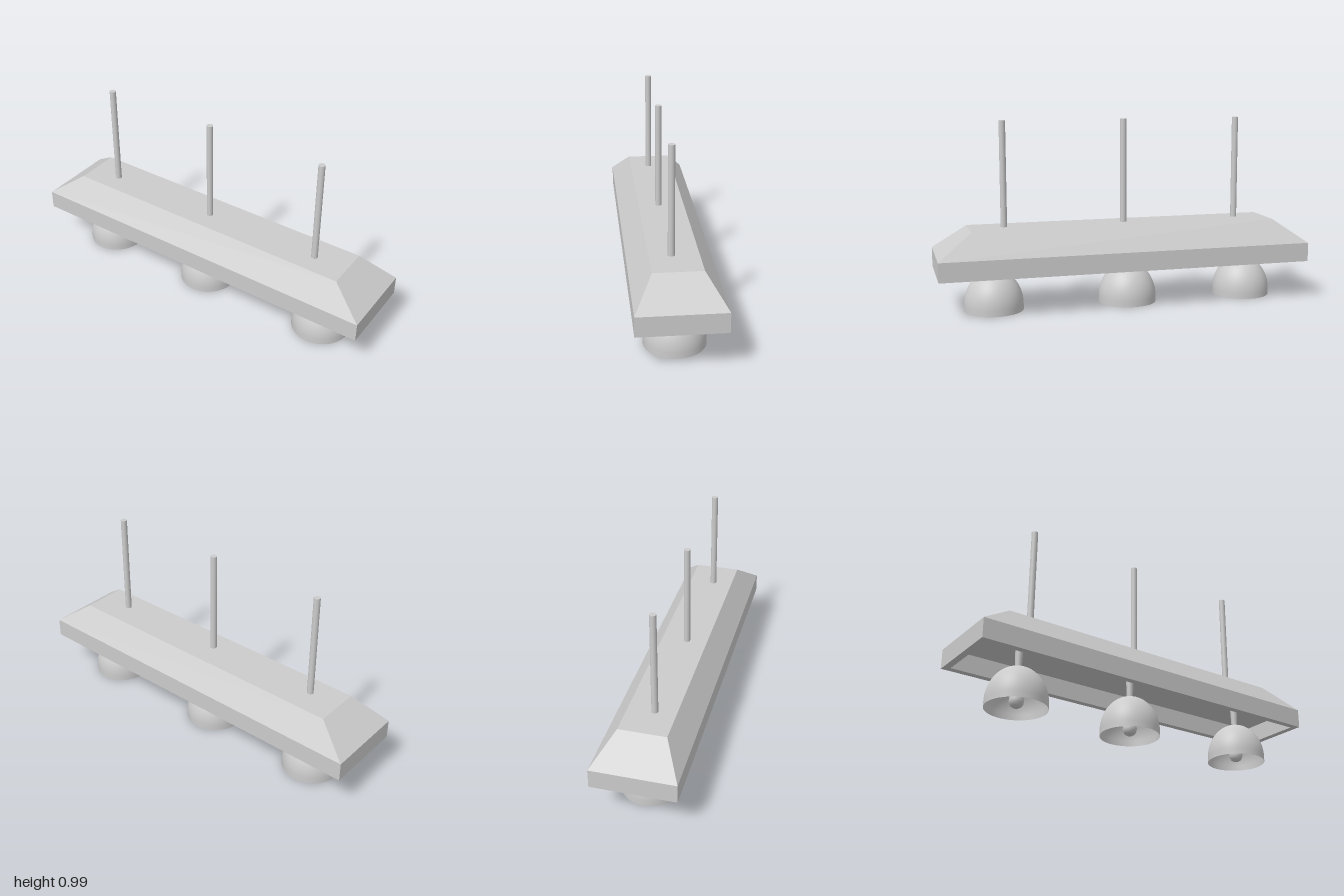
import * as THREE from 'three';

const grey = new THREE.MeshStandardMaterial({ color: 0xcccccc });
const greyDouble = new THREE.MeshStandardMaterial({ color: 0xcccccc, side: THREE.DoubleSide });

function add(parent, name, geometry, x, y, z, material = grey) {
  const mesh = new THREE.Mesh(geometry, material);
  mesh.name = name;
  mesh.position.set(x, y, z);
  parent.add(mesh);
  return mesh;
}

// Hollow tray from rectangular rings [halfX, y, halfZ], with both ends capped
function rectangleLoft(rings) {
  const corners = rings.map(([x, y, z]) => [[x, y, z], [x, y, -z], [-x, y, -z], [-x, y, z]]);
  const positions = [];
  const quad = (a, b, c, d) => positions.push(...a, ...b, ...c, ...a, ...c, ...d);
  for (let i = 0; i < corners.length - 1; i++) {
    for (let k = 0; k < 4; k++) {
      const n = (k + 1) % 4;
      quad(corners[i][k], corners[i][n], corners[i + 1][n], corners[i + 1][k]);
    }
  }
  quad(...corners[corners.length - 1]);
  quad(...corners[0].slice().reverse());
  const geometry = new THREE.BufferGeometry();
  geometry.setAttribute('position', new THREE.Float32BufferAttribute(positions, 3));
  geometry.computeVertexNormals();
  return geometry;
}

// Bell: short skirt closed by a slightly raised dome
function shadeGeometry(radius, skirt, height) {
  const profile = [new THREE.Vector2(radius, 0)];
  for (let i = 0; i <= 20; i++) {
    const a = (i / 20) * Math.PI / 2;
    profile.push(new THREE.Vector2(Math.max(radius * Math.cos(a), 0), skirt + height * Math.sin(a)));
  }
  return new THREE.LatheGeometry(profile, 48);
}

// Egg-shaped bulb, narrowing upwards into its neck
function bulbGeometry() {
  const profile = [[0, 0], [0.014, 0.003], [0.027, 0.011], [0.035, 0.025], [0.037, 0.04],
    [0.034, 0.058], [0.028, 0.075], [0.021, 0.092], [0.016, 0.11], [0.016, 0.21]];
  return new THREE.LatheGeometry(profile.map(([r, y]) => new THREE.Vector2(r, y)), 24);
}

export function createModel() {
  const model = new THREE.Group();
  model.name = 'pendantLamp';

  // Canopy: shallow flat-ceilinged recess below, sloped cap above
  const rim = 0.035;
  add(model, 'canopy', rectangleLoft([
    [1 - rim, 0.305, 0.218 - rim],
    [1 - rim, 0.209, 0.218 - rim],
    [1, 0.209, 0.218],
    [1, 0.311, 0.218],
    [0.823, 0.438, 0.123],
  ]), 0, 0, 0);

  // Hanging rods
  const rod = new THREE.CylinderGeometry(0.017, 0.017, 0.565, 24);
  for (const x of [-0.65, -0.01, 0.639]) add(model, 'hangingRod', rod, x, 0.7115, 0.014);

  // Shades with tapered stem and bulb
  const shade = shadeGeometry(0.156, 0.03, 0.184);
  const stem = new THREE.CylinderGeometry(0.02, 0.016, 0.11, 24);
  const bulb = bulbGeometry();
  for (const x of [-0.695, -0.029, 0.701]) {
    const lamp = new THREE.Group();
    lamp.name = 'lamp';
    lamp.position.set(x, 0, 0.003);
    add(lamp, 'shade', shade, 0, 0, 0, greyDouble);
    add(lamp, 'stem', stem, 0, 0.255, 0);
    add(lamp, 'bulb', bulb, 0, 0.002, 0);
    model.add(lamp);
  }
  return model;
}
